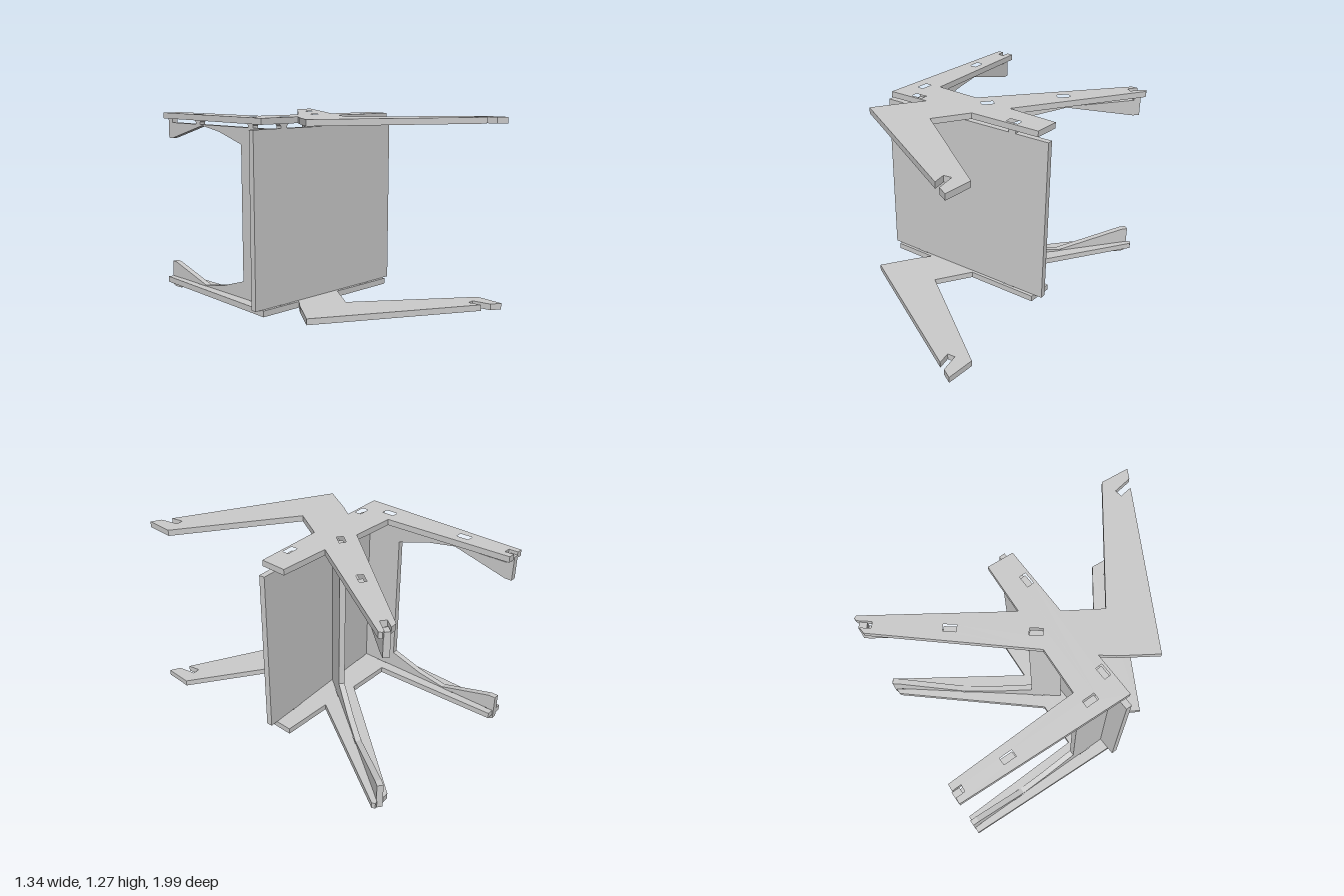
import * as THREE from 'three';

const THICK = 0.04;
const material = new THREE.MeshStandardMaterial({ color: 0xcccccc, flatShading: true });
const toPoints = (list) => list.map(([x, y]) => new THREE.Vector2(x, y));

// Upright boards: start point (x, z), end point (x, z), tab positions along the length
const FRONT = { start: [-0.67, 0.135], end: [0.585, 0.0], tabs: [0.25, 1.0] };
const LEFT_IN_PLAN = { start: [-0.52, 0.1], end: [-0.598, -0.995], tabs: [0.15, 0.73], inner: 0.25, arch: 0.68 };
const RIGHT_IN_PLAN = { start: [-0.09, 0.035], end: [0.6, -0.985], tabs: [0.16, 0.68], inner: 0.21, arch: 0.7 };

function frame({ start, end }) {
  const dx = end[0] - start[0], dz = end[1] - start[1];
  const length = Math.hypot(dx, dz);
  return { length, ux: dx / length, uz: dz / length };
}

// Horizontal plate outline as (x, z), with open notches at the tips
const OUTLINE = [
  [-0.66, -0.99], [-0.62, -0.99], [-0.615, -0.93], [-0.57, -0.93], [-0.576, -0.99], [-0.53, -0.99],
  [-0.44, -0.11], [-0.12, -0.12], [0.53, -0.985], [0.575, -0.99], [0.535, -0.93], [0.57, -0.905],
  [0.625, -0.985], [0.645, -0.99], [0.655, -0.97],
  [0.17, -0.12], [0.525, -0.13], [0.53, 0.05], [0.04, 0.1], [-0.09, 0.34],
  [0.67, 0.8], [0.67, 0.995], [0.6, 0.965], [0.57, 0.84], [0.52, 0.85], [0.54, 0.935],
  [-0.51, 0.465], [-0.38, 0.23], [-0.32, 0.14], [-0.62, 0.17],
];

function makePlate(name, y) {
  const shape = new THREE.Shape(toPoints(OUTLINE.map(([x, z]) => [x, -z])));
  // Slots that receive the board tabs
  for (const board of [FRONT, LEFT_IN_PLAN, RIGHT_IN_PLAN]) {
    const { ux, uz } = frame(board);
    for (const s of board.tabs) {
      const cx = board.start[0] + ux * s, cz = board.start[1] + uz * s;
      const corners = [[-1, -1], [1, -1], [1, 1], [-1, 1]].map(([a, b]) => [
        cx + ux * a * 0.042 - uz * b * 0.023,
        -(cz + uz * a * 0.042 + ux * b * 0.023),
      ]);
      shape.holes.push(new THREE.Path(toPoints(corners)));
    }
  }
  const geometry = new THREE.ExtrudeGeometry(shape, { depth: THICK, bevelEnabled: false });
  geometry.rotateX(-Math.PI / 2);
  const mesh = new THREE.Mesh(geometry, material);
  mesh.name = name;
  mesh.position.y = y;
  return mesh;
}

// Extrudes a (length, height) profile and stands it along the board's line
function makeBoard(name, board, profile) {
  const { ux, uz } = frame(board);
  const geometry = new THREE.ExtrudeGeometry(new THREE.Shape(toPoints(profile)), { depth: THICK, bevelEnabled: false });
  geometry.translate(0, 0, -THICK / 2);
  const mesh = new THREE.Mesh(geometry, material);
  mesh.name = name;
  mesh.position.set(board.start[0], 0, board.start[1]);
  mesh.rotation.y = Math.atan2(-uz, ux);
  return mesh;
}

// Straight tabs below, flared tabs above
const bottomTabs = (tabs) => tabs.flatMap((s) => [
  [s - 0.03, 0.075], [s - 0.03, 0.04], [s + 0.03, 0.04], [s + 0.03, 0.075],
]);
const topTabs = (tabs) => [...tabs].reverse().flatMap((s) => [
  [s + 0.026, 1.2], [s + 0.026, 1.215], [s + 0.04, 1.23], [s + 0.04, 1.245],
  [s - 0.04, 1.245], [s - 0.04, 1.23], [s - 0.026, 1.215], [s - 0.026, 1.2],
]);

function makeFrontPanel() {
  const { length } = frame(FRONT);
  return makeBoard('frontPanel', FRONT, [
    [0, 0.075], ...bottomTabs(FRONT.tabs), [length, 0.075],
    [length, 1.2], ...topTabs(FRONT.tabs), [0, 1.2],
  ]);
}

// C-shaped board: wide upright, thin arched arms and hooked ends
function makeSideBoard(name, board) {
  const { length: L } = frame(board);
  const { inner, arch, tabs } = board;
  const mid = inner + (arch - inner) * 0.55;
  return makeBoard(name, board, [
    [0, 0.075], ...bottomTabs(tabs),
    [L - 0.05, 0.075], [L - 0.05, 0.027], [L - 0.1, 0.022], [L - 0.1, 0.002], [L - 0.02, 0], [L, 0.012],
    [L, 0.185], [L - 0.045, 0.185], [arch, 0.082], [mid, 0.115], [inner, 0.19],
    [inner, 1.09], [mid, 1.16], [arch, 1.193], [L - 0.045, 1.09], [L, 1.09],
    [L, 1.25], [L - 0.05, 1.25], [L - 0.05, 1.2],
    ...topTabs(tabs), [0, 1.2],
  ]);
}

export function createModel() {
  const model = new THREE.Group();
  model.name = 'slottedPanelStand';
  model.add(
    makePlate('bottomPlate', 0.035),
    makePlate('topPlate', 1.23),
    makeFrontPanel(),
    makeSideBoard('rightSideBoard', LEFT_IN_PLAN),
    makeSideBoard('leftSideBoard', RIGHT_IN_PLAN),
  );
  return model;
}
